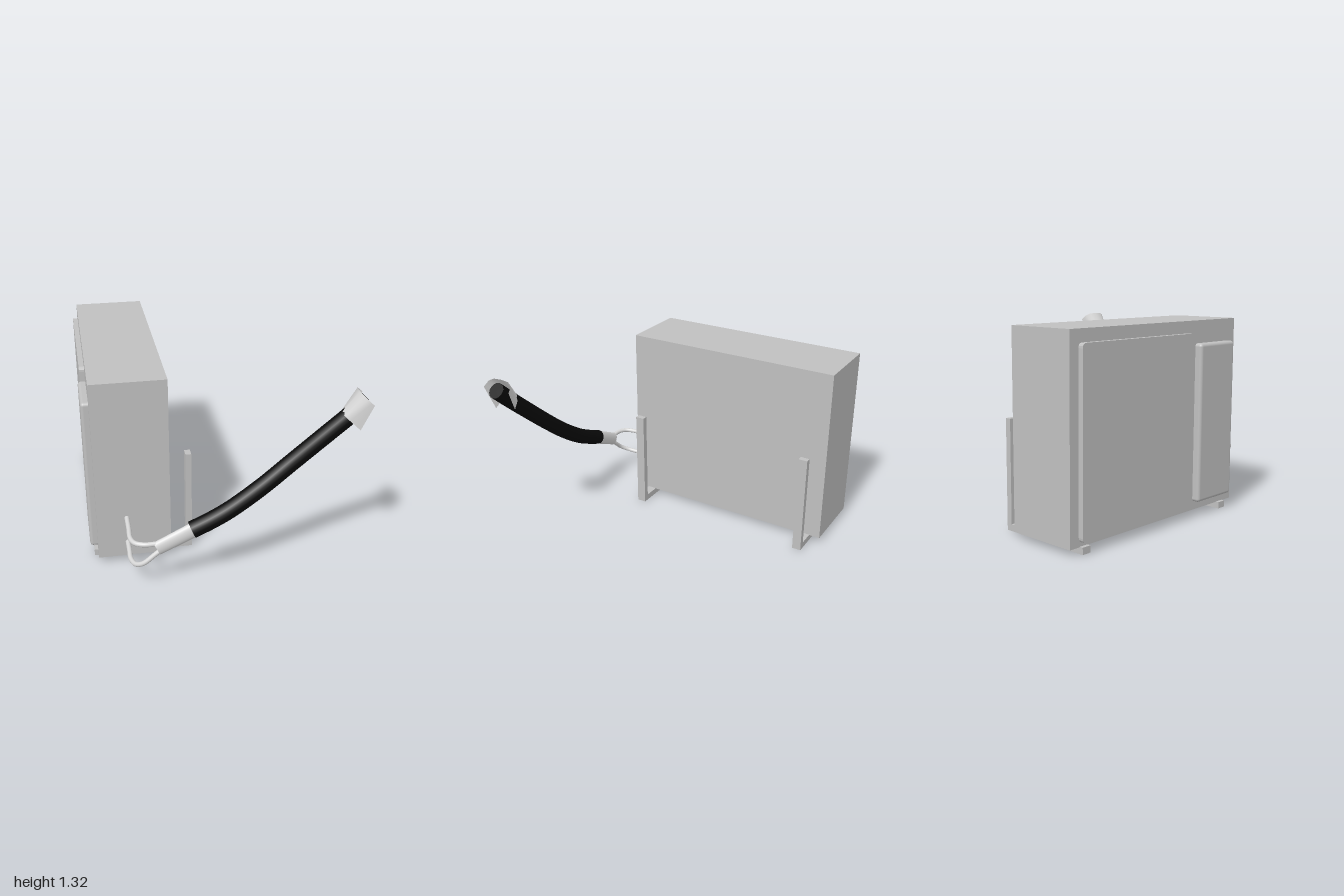
import * as THREE from 'three';
import { RoundedBoxGeometry } from 'three/addons/geometries/RoundedBoxGeometry.js';

const V = (x, y, z) => new THREE.Vector3(x, y, z);

export function createModel() {
  const group = new THREE.Group();
  const mat = (name, color) => {
    const m = new THREE.MeshStandardMaterial({ color });
    m.name = name;
    return m;
  };
  const casing = mat('casingGrey', 0xc0c0c0);
  const pale = mat('paleGrey', 0xd8d8d8);
  pale.side = THREE.DoubleSide;
  const rubber = mat('blackFoam', 0x0a0a0a);

  const add = (name, geometry, material, parent = group) => {
    const m = new THREE.Mesh(geometry, material);
    m.name = name;
    parent.add(m);
    return m;
  };
  // Box given by its extents on each axis
  const box = (name, [x0, x1], [y0, y1], [z0, z1], parent) => {
    const m = add(name, new THREE.BoxGeometry(x1 - x0, y1 - y0, z1 - z0), casing, parent);
    m.position.set((x0 + x1) / 2, (y0 + y1) / 2, (z0 + z1) / 2);
    return m;
  };

  // Cabinet
  box('cabinet', [-0.835, -0.34], [0.042, 1.32], [-1, 0.58]);

  // Large fan panel with rounded corners
  const [z0, z1, y0, y1, r] = [-0.93, 0.1, 0.07, 1.24, 0.03];
  const s = new THREE.Shape();
  s.moveTo(z0 + r, y0);
  s.lineTo(z1 - r, y0);
  s.quadraticCurveTo(z1, y0, z1, y0 + r);
  s.lineTo(z1, y1 - r);
  s.quadraticCurveTo(z1, y1, z1 - r, y1);
  s.lineTo(z0 + r, y1);
  s.quadraticCurveTo(z0, y1, z0, y1 - r);
  s.lineTo(z0, y0 + r);
  s.quadraticCurveTo(z0, y0, z0 + r, y0);
  const panel = add('fanPanel', new THREE.ExtrudeGeometry(s, { depth: 0.035, bevelEnabled: false, curveSegments: 4 }), casing);
  panel.rotation.y = -Math.PI / 2;
  panel.position.x = -0.835;

  // Small side panel, softly rounded
  const cover = add('servicePanel', new RoundedBoxGeometry(0.1, 1.07, 0.37, 4, 0.022), casing);
  cover.position.set(-0.836, 0.635, 0.335);

  // L-shaped wall brackets
  for (const [a, b] of [[0.42, 0.486], [-0.922, -0.858]]) {
    const bracket = new THREE.Group();
    bracket.name = 'wallBracket';
    box('bracketArm', [-0.86, -0.22], [0, 0.045], [a, b], bracket);
    box('bracketUpright', [-0.22, -0.18], [0, 0.728], [a, b], bracket);
    group.add(bracket);
  }

  // Tube along a smooth path, with optional end caps
  const tube = (name, points, radius, material, segments, capped) => {
    const curve = new THREE.CatmullRomCurve3(points);
    add(name, new THREE.TubeGeometry(curve, segments, radius, 16), material);
    if (!capped) return;
    for (const [t, sign] of [[0, -1], [1, 1]]) {
      const cap = add(name + 'End', new THREE.CircleGeometry(radius, 16), material);
      cap.position.copy(curve.getPoint(t));
      cap.quaternion.setFromUnitVectors(V(0, 0, 1), curve.getTangent(t).multiplyScalar(sign));
    }
  };

  // Two refrigerant pipes
  tube('upperPipe', [
    V(-0.635, 0.34, 0.56), V(-0.635, 0.34, 0.7), V(-0.635, 0.34, 0.83), V(-0.61, 0.343, 0.89),
    V(-0.555, 0.345, 0.918), V(-0.49, 0.345, 0.921), V(-0.42, 0.35, 0.921)], 0.016, pale, 40);
  tube('lowerPipe', [
    V(-0.635, 0.15, 0.56), V(-0.635, 0.15, 0.68), V(-0.635, 0.152, 0.78), V(-0.61, 0.168, 0.87),
    V(-0.565, 0.2, 0.912), V(-0.49, 0.265, 0.921), V(-0.42, 0.32, 0.921)], 0.016, pale, 40);

  // Flattened sleeve joining the pipes
  const start = V(-0.475, 0.31, 0.921), end = V(-0.235, 0.425, 0.921);
  const dir = end.clone().sub(start);
  const sleeve = add('pipeSleeve', new THREE.CylinderGeometry(0.054, 0.05, dir.length(), 24), pale);
  sleeve.position.copy(start).add(end).multiplyScalar(0.5);
  sleeve.rotation.z = Math.atan2(dir.y, dir.x) - Math.PI / 2;
  sleeve.scale.z = 0.56;

  // Insulated hose
  tube('insulatedHose', [
    V(-0.25, 0.422, 0.917), V(-0.12, 0.478, 0.912), V(0, 0.54, 0.905), V(0.2, 0.672, 0.89),
    V(0.4, 0.828, 0.876), V(0.6, 1.0, 0.882), V(0.74, 1.125, 0.892), V(0.852, 1.228, 0.898)],
  0.057, rubber, 64, true);

  // Flared wall cover: an open arch over the hose, as [offset across, z offset]
  const sections = [
    { c: V(0.74, 1.108, 0.895), p: [[-0.07, 0.08], [-0.03, 0.072], [0.02, 0.06], [0.055, 0.04], [0.068, 0], [0.055, -0.04], [0.02, -0.06], [-0.02, -0.068], [-0.045, -0.074]] },
    { c: V(0.847, 1.243, 0.895), p: [[-0.012, 0.108], [0.01, 0.104], [0.04, 0.095], [0.062, 0.062], [0.067, 0], [0.062, -0.062], [0.04, -0.095], [0.01, -0.104], [-0.012, -0.108]] },
  ];
  const across = V(-0.74, 0.67, 0);
  const pos = [], index = [], n = sections[0].p.length;
  for (const { c, p } of sections)
    for (const [u, z] of p) pos.push(c.x + across.x * u, c.y + across.y * u, c.z + z);
  for (let i = 0; i < n - 1; i++) index.push(i, i + n, i + 1, i + 1, i + n, i + n + 1);
  const arch = new THREE.BufferGeometry();
  arch.setAttribute('position', new THREE.Float32BufferAttribute(pos, 3));
  arch.setIndex(index);
  arch.computeVertexNormals();
  // Outer side faces up and away from the hose
  const nrm = arch.attributes.normal;
  if (nrm.getX(4) * across.x + nrm.getY(4) * across.y < 0) {
    arch.setIndex(index.reverse());
    arch.computeVertexNormals();
  }
  add('wallCover', arch, pale);

  return group;
}
